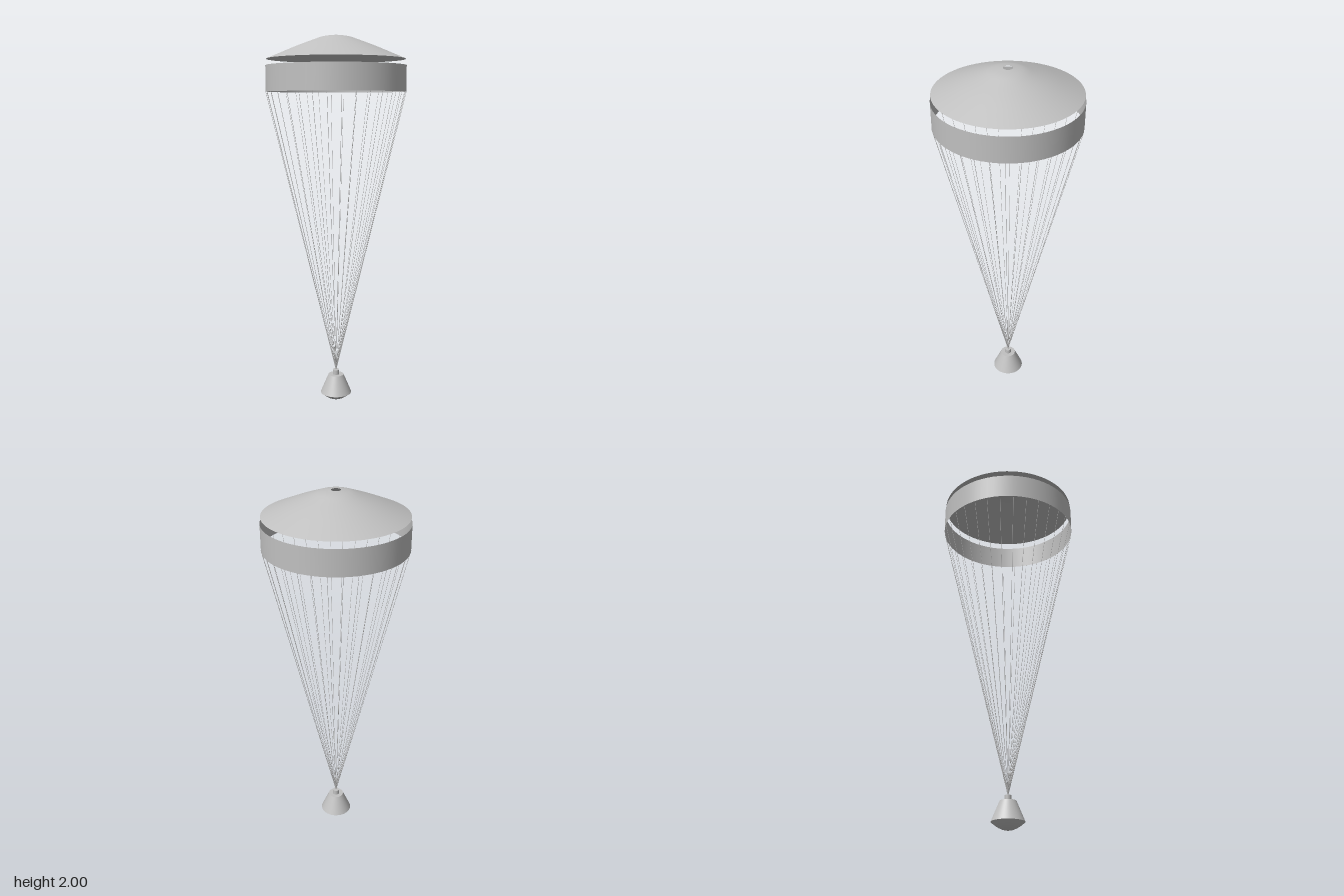
import * as THREE from 'three';

const SEGMENTS = 64;
const LINE_COUNT = 32;
const BAND_RADIUS = 0.37;
const BAND_BOTTOM = 1.71;
const BAND_TOP = 1.845;

const vec = (r, y) => new THREE.Vector2(r, y);

export function createModel() {
  const fabric = new THREE.MeshStandardMaterial({ color: 0xc0c0c0, side: THREE.DoubleSide });
  fabric.name = 'light grey';

  const model = new THREE.Group();
  model.name = 'parachuteAndCapsule';

  function add(parent, name, geometry) {
    const mesh = new THREE.Mesh(geometry, fabric);
    mesh.name = name;
    parent.add(mesh);
    return mesh;
  }

  // Canopy: shallow dome with a vent hole, an open gap, then a cylindrical band
  const canopy = new THREE.Group();
  canopy.name = 'canopy';
  model.add(canopy);

  const crown = new THREE.SplineCurve([
    vec(0.366, 1.878), vec(0.29, 1.91), vec(0.21, 1.943), vec(0.13, 1.973),
    vec(0.075, 1.992), vec(0.024, 2.0),
  ]);
  add(canopy, 'canopyDisk', new THREE.LatheGeometry(crown.getPoints(20), SEGMENTS));

  const band = new THREE.CylinderGeometry(
    BAND_RADIUS, BAND_RADIUS, BAND_TOP - BAND_BOTTOM, SEGMENTS, 1, true);
  add(canopy, 'canopyBand', band).position.y = (BAND_TOP + BAND_BOTTOM) / 2;

  // Suspension lines from the band's lower hem to the bridle point
  const lines = new THREE.Group();
  lines.name = 'suspensionLines';
  model.add(lines);

  const bridle = new THREE.Vector3(0, 0.17, 0);
  for (let i = 0; i < LINE_COUNT; i++) {
    const angle = (i / LINE_COUNT) * Math.PI * 2;
    const hem = new THREE.Vector3(
      BAND_RADIUS * Math.sin(angle), BAND_BOTTOM, BAND_RADIUS * Math.cos(angle));
    const path = new THREE.LineCurve3(bridle, hem);
    add(lines, 'suspensionLine', new THREE.TubeGeometry(path, 1, 0.001, 5));
  }

  // Capsule: neck, conical back shell and rounded heat shield
  const capsule = new THREE.Group();
  capsule.name = 'capsule';
  model.add(capsule);

  add(capsule, 'neck', new THREE.CylinderGeometry(0.018, 0.018, 0.03, 32))
    .position.y = 0.157;
  add(capsule, 'backShell', new THREE.CylinderGeometry(0.042, 0.086, 0.104, 48))
    .position.y = 0.093;

  const shield = new THREE.SplineCurve([
    vec(0, 0), vec(0.025, 0.004), vec(0.055, 0.018), vec(0.086, 0.041),
  ]);
  add(capsule, 'heatShield', new THREE.LatheGeometry(shield.getPoints(10), 48));

  return model;
}
